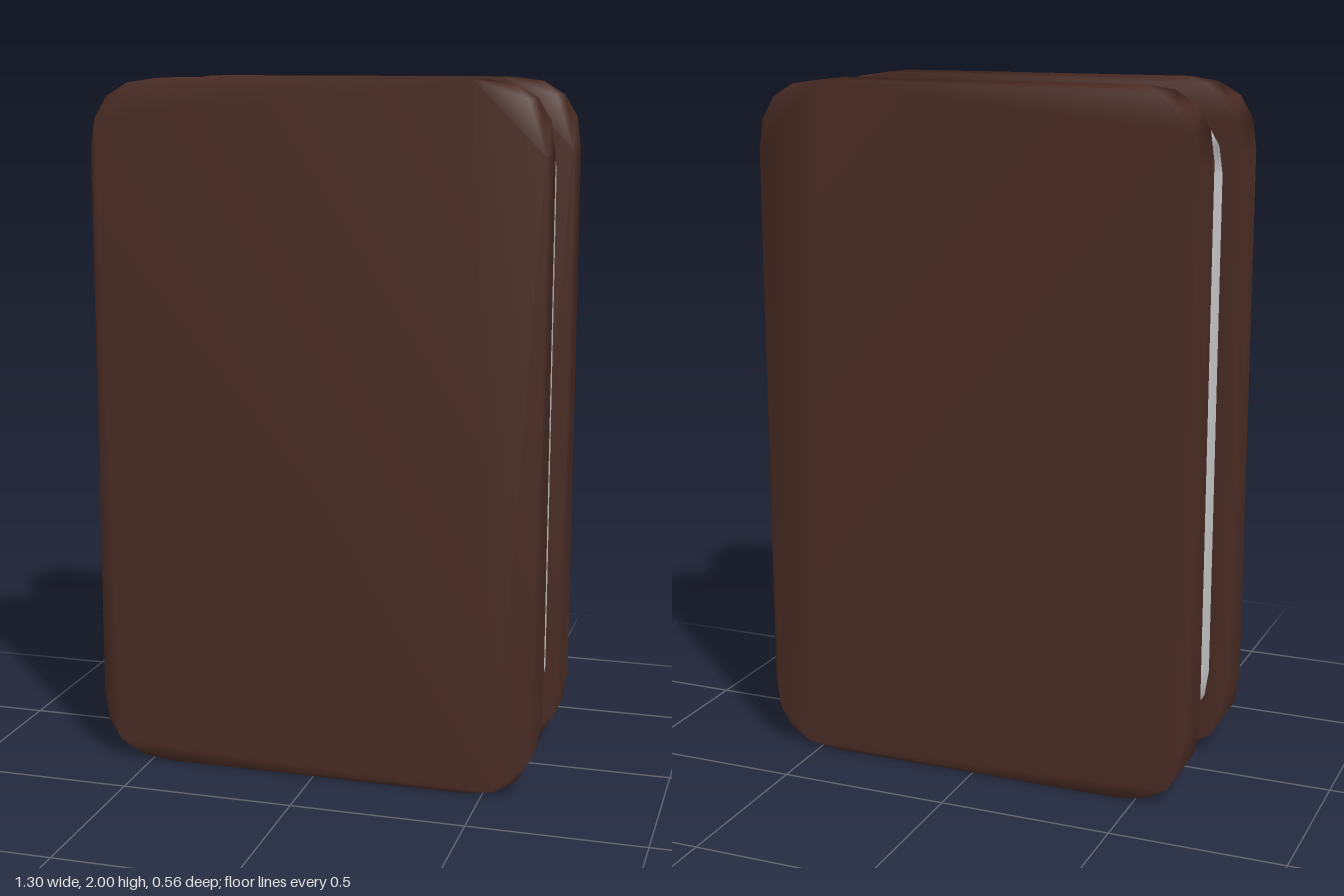
import * as THREE from 'three';
import { mergeVertices } from 'three/addons/utils/BufferGeometryUtils.js';

// Flat slab with softly rounded corners, its normals shared across all edges
function slab(name, material, width, height, radius, x, zBack, zFront) {
  const w = width / 2, h = height / 2, r = radius;
  const shape = new THREE.Shape();
  shape.moveTo(-w, -h + r);
  shape.quadraticCurveTo(-w, -h, -w + r, -h);
  shape.lineTo(w - r, -h);
  shape.quadraticCurveTo(w, -h, w, -h + r);
  shape.lineTo(w, h - r);
  shape.quadraticCurveTo(w, h, w - r, h);
  shape.lineTo(-w + r, h);
  shape.quadraticCurveTo(-w, h, -w, h - r);

  let geometry = new THREE.ExtrudeGeometry(shape, {
    depth: zFront - zBack, bevelEnabled: false, curveSegments: 4,
  });
  geometry.deleteAttribute('uv');
  geometry.deleteAttribute('normal');
  geometry = mergeVertices(geometry, 1e-4);
  geometry.computeVertexNormals();

  const mesh = new THREE.Mesh(geometry, material);
  mesh.name = name;
  mesh.position.set(x, 1, zBack);
  return mesh;
}

export function createModel() {
  const group = new THREE.Group();
  group.name = 'iceCreamSandwich';
  const wafer = new THREE.MeshStandardMaterial({ color: 0x4a2c24 });
  const cream = new THREE.MeshStandardMaterial({ color: 0xcccccc });

  // Two wafers, very slightly out of line, with the filling between them
  group.add(
    slab('frontWafer', wafer, 1.296, 2, 0.2, -0.002, 0.132, 0.277),
    slab('backWafer', wafer, 1.296, 2, 0.2, 0.002, -0.28, -0.135),
    slab('filling', cream, 1.2, 1.84, 0.18, 0.005, -0.134, 0.127),
  );
  return group;
}
